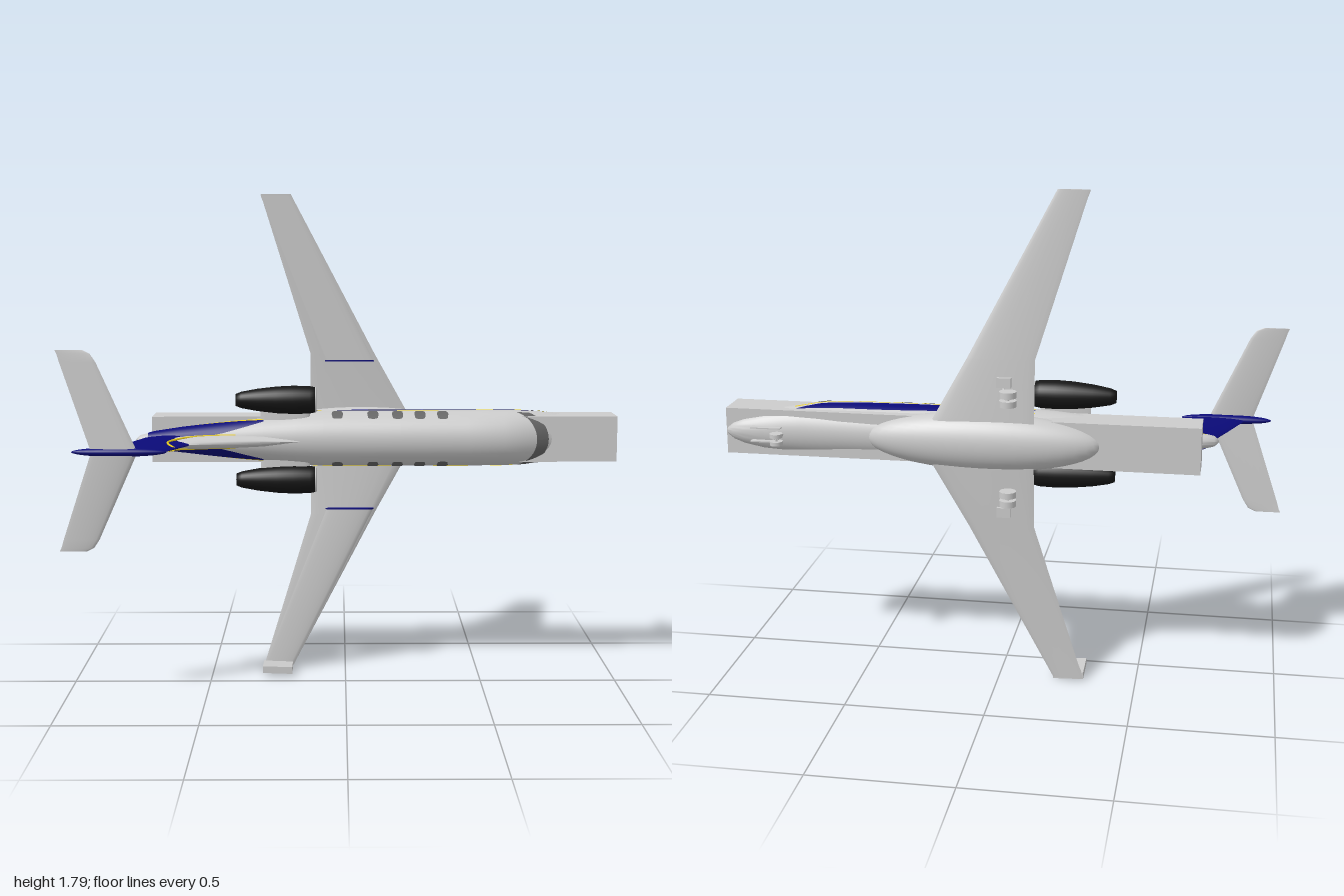
import * as THREE from 'three';
import { toCreasedNormals } from 'three/addons/utils/BufferGeometryUtils.js';

const CY = 0.906; // height of the aircraft's centreline
const mat = (color) => new THREE.MeshStandardMaterial({ color, side: THREE.DoubleSide });
const GREY = mat(0xcccccc), BLUE = mat(0x0a0a78), YELLOW = mat(0xe8cc20);
const BLACK = mat(0x161616), GLASS = mat(0x666666);

// Fuselage stations: x, centre z, half width, half depth
const STATIONS = [
  [-0.765, -0.042, 0.004, 0.006], [-0.75, -0.043, 0.018, 0.024], [-0.7, -0.047, 0.03, 0.034],
  [-0.6, -0.055, 0.045, 0.047], [-0.45, -0.068, 0.064, 0.066], [-0.3, -0.081, 0.083, 0.084],
  [-0.18, -0.089, 0.096, 0.096], [-0.08, -0.092, 0.102, 0.102], [0.2, -0.093, 0.102, 0.102],
  [0.45, -0.094, 0.102, 0.102], [0.58, -0.099, 0.102, 0.1], [0.65, -0.108, 0.1, 0.094],
  [0.72, -0.122, 0.095, 0.082], [0.785, -0.137, 0.086, 0.071], [0.86, -0.152, 0.071, 0.058],
  [0.93, -0.165, 0.051, 0.042], [0.97, -0.171, 0.034, 0.029], [0.992, -0.175, 0.016, 0.015],
  [1.0, -0.176, 0.003, 0.003]];

// Linear lookup in rows sorted by their first entry
function lookup(rows, x) {
  let i = 0;
  while (i < rows.length - 2 && x > rows[i + 1][0]) i++;
  const a = rows[i], b = rows[i + 1];
  const t = THREE.MathUtils.clamp((x - a[0]) / (b[0] - a[0]), 0, 1);
  return a.map((v, k) => v + (b[k] - v) * t);
}

// Point on the fuselage skin; the angle runs from the top toward +y
function skin(x, angle, off = 0) {
  const [, z, ry, rz] = lookup(STATIONS, x);
  return [x, CY + (ry + off) * Math.sin(angle), z + (rz + off) * Math.cos(angle)];
}

function add(parent, name, geometry, material = GREY) {
  const mesh = new THREE.Mesh(geometry, material);
  mesh.name = name;
  parent.add(mesh);
  return mesh;
}

// Surface through rings of points, closed around and optionally capped
function loft(rings, { closed = true, caps = true, crease = 0.8 } = {}) {
  const n = rings[0].length, pos = rings.flat(2), idx = [];
  const around = closed ? n : n - 1;
  for (let i = 0; i < rings.length - 1; i++) {
    for (let j = 0; j < around; j++) {
      const a = i * n + j, b = i * n + (j + 1) % n;
      idx.push(a, b, a + n, b, b + n, a + n);
    }
  }
  if (closed && caps) {
    const last = (rings.length - 1) * n;
    for (let j = 1; j < n - 1; j++) idx.push(0, j + 1, j, last, last + j, last + j + 1);
  }
  const g = new THREE.BufferGeometry();
  g.setAttribute('position', new THREE.Float32BufferAttribute(pos, 3));
  g.setIndex(idx);
  g.computeVertexNormals();
  return crease ? toCreasedNormals(g, crease) : g;
}

const circle = (n, fn) => Array.from({ length: n }, (_, i) => fn(i / n * Math.PI * 2));

// Painted patch lying on the skin between two angle curves
function patch(x0, x1, lo, hi, off = 0.002, n = 32, m = 6) {
  const rows = [];
  for (let i = 0; i <= n; i++) {
    const x = x0 + (x1 - x0) * i / n, a = lo(x), b = hi(x), row = [];
    for (let j = 0; j <= m; j++) row.push(skin(x, a + (b - a) * j / m, off));
    rows.push(row);
  }
  return loft(rows, { closed: false, crease: 0 });
}

// Skin angle at a given z
function angleAt(x, z) {
  const [, zc, , rz] = lookup(STATIONS, x);
  return Math.acos(THREE.MathUtils.clamp((z - zc) / rz, -1, 1));
}

// Aerofoil section with its leading edge toward +x
const foil = (lead, trail, y, z, thick) => circle(20, (t) => {
  const c = (1 + Math.cos(t)) / 2;
  return [trail + (lead - trail) * c, y, z + Math.sin(t) * thick / 2 * (0.25 + 0.75 * Math.sqrt(c))];
});
const panel = (rows, s) => loft(rows.map(([d, l, t, z, h]) => foil(l, t, CY + s * d, z, h)));

// Upright section for the fin, cut across z
const finRing = (lead, trail, z, half) => circle(20, (t) =>
  [(lead + trail) / 2 + Math.cos(t) * (lead - trail) / 2, CY + Math.sin(t) * half, z]);

function wheel(parent, x, y, z, r, w) {
  const m = add(parent, 'wheel', new THREE.CylinderGeometry(r, r, w, 20));
  m.position.set(x, y, z);
}

function strut(parent, name, a, b, r) {
  const path = new THREE.LineCurve3(new THREE.Vector3(...a), new THREE.Vector3(...b));
  add(parent, name, new THREE.TubeGeometry(path, 1, r, 10));
}

export function createModel() {
  const plane = new THREE.Group();
  plane.name = 'jet';

  // Body
  add(plane, 'fuselage', loft(STATIONS.map(([x]) => circle(40, (t) => skin(x, t)))));
  const block = add(plane, 'longBlock', new THREE.BoxGeometry(1.705, 0.168, 0.13));
  block.position.set(0.1445, CY, -0.12);
  const belly = add(plane, 'bellyFairing', new THREE.SphereGeometry(1, 40, 24));
  belly.scale.set(0.42, 0.105, 0.085);
  belly.position.set(0.06, CY, -0.175);

  // Windscreen band
  for (const s of [-1, 1]) {
    const rows = [];
    for (let i = 0; i <= 12; i++) {
      const a = i / 12 * 1.25, back = 0.7 - 0.07 * (i / 12) ** 2;
      rows.push([0, 1, 2, 3].map((k) => skin(back + 0.045 * k / 3, s * a, 0.002)));
    }
    add(plane, 'windscreen', loft(rows, { closed: false, crease: 0 }), GLASS);
  }

  // Side windows and paint, the same on both sides
  const top = [[-0.12, -0.107], [-0.02, -0.125], [0.15, -0.135], [0.35, -0.142], [0.6, -0.148], [0.74, -0.16]];
  const low = [[-0.12, -0.104], [0.3, -0.097], [0.5, -0.104], [0.65, -0.122], [0.74, -0.158]];
  const upper = [[-0.72, 0.05], [-0.6, 0.1], [-0.45, 0.45], [-0.3, 0.95]];
  const lower = [[-0.72, 1.75], [-0.6, 1.55], [-0.45, 1.3], [-0.3, 1.05]];
  const val = (rows, x) => lookup(rows, x)[1];
  for (const s of [-1, 1]) {
    for (const wx of [-0.03, 0.1, 0.19, 0.272, 0.355]) {
      const edge = (k) => (x) => {
        const u = Math.min(1, Math.abs(x - wx) / 0.021);
        return s * angleAt(x, -0.05 + k * 0.023 * (1 - u ** 4) ** 0.25);
      };
      add(plane, 'cabinWindow', patch(wx - 0.021, wx + 0.021, edge(-1), edge(1), 0.002, 12, 3), GLASS);
    }
    const line = (rows, d) => (x) => s * angleAt(x, val(rows, x) + d);
    add(plane, 'sideStripe', patch(-0.12, 0.74, line(top, 0), line(low, 0)), BLUE);
    add(plane, 'stripeTrim', patch(-0.12, 0.75, line(low, 0.008), line(low, 0.014)), YELLOW);
    add(plane, 'stripeTrim', patch(-0.12, 0.75, line(top, -0.02), line(top, -0.014)), YELLOW);
    add(plane, 'tailPaint', patch(-0.72, -0.3, (x) => s * val(upper, x), (x) => s * val(lower, x)), BLUE);
    add(plane, 'tailTrim', patch(-0.72, -0.3, (x) => s * val(lower, x), (x) => s * (val(lower, x) + 0.09)), YELLOW);
  }

  // Fin, with a pale fairing at the foot of its leading edge
  add(plane, 'fin', loft([finRing(-0.5, -0.74, -0.05, 0.022), finRing(-0.53, -0.77, 0.03, 0.018),
    finRing(-0.565, -0.8, 0.1, 0.014), finRing(-0.625, -0.855, 0.245, 0.009)]), BLUE);
  const dorsal = [[-0.63, 0.09, 0.016], [-0.59, 0.095, 0.02], [-0.53, 0.082, 0.023], [-0.42, 0.052, 0.023],
    [-0.3, 0.03, 0.019], [-0.16, 0.006, 0.004]];
  add(plane, 'dorsalFairing', loft(dorsal.map(([x, z, w]) => circle(20, (t) =>
    [x, CY + Math.sin(t) * w, (z - 0.05) / 2 + Math.cos(t) * (z + 0.05) / 2]))));
  for (const s of [-1, 1]) {
    const trim = new THREE.CatmullRomCurve3([[-0.4, 0.0], [-0.5, 0.015], [-0.58, 0.05], [-0.63, 0.1], [-0.625, 0.15], [-0.605, 0.18]]
      .map(([x, z], i) => new THREE.Vector3(x, CY + s * [0.022, 0.022, 0.02, 0.014, 0.011, 0.005][i], z)));
    add(plane, 'finTrim', new THREE.TubeGeometry(trim, 24, 0.004, 6), YELLOW);
  }
  const bullet = add(plane, 'tailBullet', new THREE.SphereGeometry(1, 24, 16), BLUE);
  bullet.scale.set(0.165, 0.016, 0.024);
  bullet.position.set(-0.785, CY, 0.257);

  for (const s of [-1, 1]) {
    // Tailplane
    add(plane, 'tailplane', panel([[0, -0.72, -0.88, 0.265, 0.022], [0.31, -0.86, -0.985, 0.248, 0.01],
      [0.34, -0.88, -0.994, 0.247, 0.008], [0.352, -0.905, -1, 0.246, 0.005]], s));

    // Wing, with a raised outer panel closed by a blue rib
    add(plane, 'wing', panel([[0, 0.28, -0.13, -0.215, 0.034], [0.095, 0.225, -0.13, -0.212, 0.032],
      [0.305, 0.108, -0.13, -0.196, 0.022], [0.89, -0.2, -0.31, -0.17, 0.009]], s));
    add(plane, 'outerWingPanel', panel([[0.28, 0.105, -0.07, -0.17, 0.026], [0.885, -0.2, -0.31, -0.162, 0.006]], s));
    add(plane, 'panelRib', panel([[0.277, 0.107, -0.075, -0.17, 0.029], [0.282, 0.105, -0.075, -0.17, 0.029]], s), BLUE);

    // Engine: nacelle, intake lip, fan, spinner and pylon
    const engine = new THREE.Group();
    engine.name = 'engine';
    engine.position.set(-0.11, CY + s * 0.147, -0.045);
    engine.rotation.z = -Math.PI / 2;
    plane.add(engine);
    const profile = [[0.001, -0.28], [0.022, -0.29], [0.03, -0.27], [0.041, -0.21], [0.049, -0.14], [0.052, -0.08],
      [0.05, -0.02], [0.046, 0], [0.04, -0.004], [0.038, -0.03]].map((p) => new THREE.Vector2(...p));
    add(engine, 'nacelle', new THREE.LatheGeometry(profile, 32), BLACK);
    const lip = add(engine, 'intakeLip', new THREE.TorusGeometry(0.043, 0.004, 8, 32));
    lip.rotation.x = Math.PI / 2;
    const fan = add(engine, 'fan', new THREE.CylinderGeometry(0.038, 0.038, 0.004, 24), BLACK);
    fan.position.y = -0.025;
    const spinner = add(engine, 'spinner', new THREE.ConeGeometry(0.014, 0.022, 16));
    spinner.position.y = -0.012;
    add(plane, 'pylon', panel([[0.04, -0.13, -0.31, -0.045, 0.03], [0.12, -0.13, -0.31, -0.045, 0.026]], s));

    // Main gear
    const gear = new THREE.Group();
    gear.name = 'mainGear';
    plane.add(gear);
    const y = CY + s * 0.18;
    for (const d of [-0.016, 0.016]) wheel(gear, -0.045, y + d, -0.257, 0.03, 0.022);
    strut(gear, 'axle', [-0.045, y - 0.02, -0.257], [-0.045, y + 0.02, -0.257], 0.006);
    strut(gear, 'leg', [-0.045, y, -0.257], [-0.01, y, -0.2], 0.009);
    strut(gear, 'sideBrace', [-0.03, y, -0.245], [-0.02, y + s * 0.04, -0.2], 0.005);
    const door = add(gear, 'gearDoor', new THREE.BoxGeometry(0.05, 0.035, 0.014));
    door.position.set(-0.03, y + s * 0.055, -0.25);
  }

  // Winglet, on one wing only
  add(plane, 'winglet', loft([[-0.168, 0.012], [-0.06, 0.02]].map(([z, y]) =>
    [[-0.31, y], [-0.2, y - 0.004], [-0.2, y + 0.022], [-0.31, y + 0.026]].map(([x, h]) => [x, h, z]))));

  // Nose gear
  const nose = new THREE.Group();
  nose.name = 'noseGear';
  plane.add(nose);
  for (const d of [-0.014, 0.014]) wheel(nose, 0.785, CY + d, -0.268, 0.023, 0.014);
  strut(nose, 'axle', [0.785, CY - 0.018, -0.268], [0.785, CY + 0.018, -0.268], 0.005);
  strut(nose, 'leg', [0.785, CY, -0.268], [0.785, CY, -0.195], 0.007);
  for (const d of [-0.025, 0.025]) {
    const door = add(nose, 'noseGearDoor', new THREE.BoxGeometry(0.11, 0.004, 0.025));
    door.position.set(0.84, CY + d, -0.215);
  }
  return plane;
}
